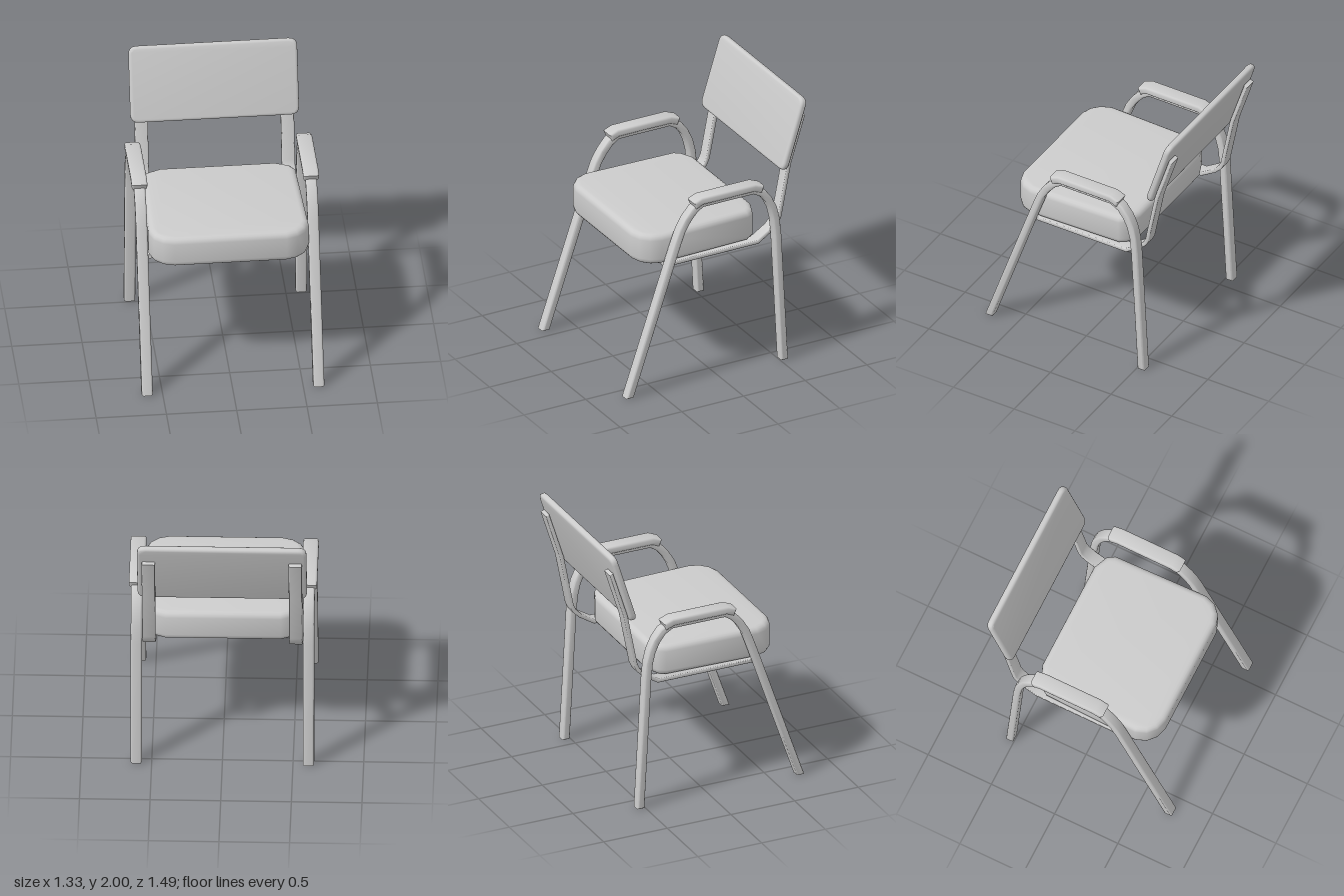
import * as THREE from 'three';
import { toCreasedNormals } from 'three/addons/utils/BufferGeometryUtils.js';

const material = new THREE.MeshStandardMaterial({ color: 0xcccccc });

// Extrude a shape to a total depth, centred, with edges rounded inward
function slab(shape, depth, bevel, bevelSegments = 3) {
  const geo = new THREE.ExtrudeGeometry(shape, {
    depth: depth - 2 * bevel, bevelThickness: bevel, bevelSize: bevel,
    bevelOffset: -bevel, bevelSegments, curveSegments: 4,
  });
  geo.translate(0, 0, bevel - depth / 2);
  return geo;
}

// Flat bar of given thickness and width following a [z, y] path
function bar(path, thickness, width, bevel, levelEnds = false) {
  const pts = path.map(([z, y]) => new THREE.Vector2(z, y));
  const dir = (i) => pts[i + 1].clone().sub(pts[i]).normalize();
  const last = pts.length - 1;
  const near = [], far = [];
  pts.forEach((p, i) => {
    const a = dir(Math.max(i - 1, 0)), b = dir(Math.min(i, last - 1));
    const na = new THREE.Vector2(-a.y, a.x);
    let n = na.clone().add(new THREE.Vector2(-b.y, b.x)).normalize();
    // feet are cut level with the floor
    if (levelEnds && (i === 0 || i === last)) n = new THREE.Vector2(Math.sign(n.x), 0);
    n.multiplyScalar(thickness / 2 / n.dot(na));
    near.push(p.clone().add(n));
    far.unshift(p.clone().sub(n));
  });
  const geo = slab(new THREE.Shape([...near, ...far]), width, bevel);
  return geo.rotateY(-Math.PI / 2);
}

function roundedRect(w, h, r) {
  const s = new THREE.Shape(), x = w / 2, y = h / 2;
  s.moveTo(-x + r, -y);
  s.lineTo(x - r, -y).quadraticCurveTo(x, -y, x, -y + r);
  s.lineTo(x, y - r).quadraticCurveTo(x, y, x - r, y);
  s.lineTo(-x + r, y).quadraticCurveTo(-x, y, -x, y - r);
  s.lineTo(-x, -y + r).quadraticCurveTo(-x, -y, -x + r, -y);
  return s;
}

export function createModel() {
  const chair = new THREE.Group();
  chair.name = 'armchair';
  const add = (name, geo, x = 0, y = 0, z = 0) => {
    const mesh = new THREE.Mesh(toCreasedNormals(geo, 0.75), material);
    mesh.name = name;
    mesh.position.set(x, y, z);
    chair.add(mesh);
    return mesh;
  };

  // Seat cushion: slightly narrower at the back, with clipped round corners
  const half = [[0.40, 0.58], [0.48, 0.555], [0.54, 0.50], [0.57, 0.42],
    [0.55, -0.29], [0.515, -0.345], [0.41, -0.39]];
  const outline = [...half, ...half.map(([x, z]) => [-x, z]).reverse()];
  const seatShape = new THREE.Shape(outline.map(([x, z]) => new THREE.Vector2(x, z)));
  add('seat', slab(seatShape, 0.235, 0.045, 4).rotateX(Math.PI / 2), 0, 1.073, 0);

  // Tilted back panel
  const back = add('backrest', slab(roundedRect(1.2, 0.56, 0.06), 0.05, 0.02), 0, 1.73, -0.643);
  back.rotation.x = -0.304;

  const legPath = [[0.72, 0], [0.40, 0.93], [0.33, 1.13], [0.295, 1.22], [0.25, 1.295],
    [0.195, 1.36], [0.135, 1.4], [-0.29, 1.4], [-0.36, 1.36], [-0.41, 1.295],
    [-0.445, 1.22], [-0.467, 1.13], [-0.48, 1.0], [-0.534, 0]];
  const armPath = [[0.20, 1.402], [0.14, 1.428], [-0.285, 1.428], [-0.35, 1.402]];
  const supportPath = [[0.39, 0.94], [-0.36, 0.94], [-0.47, 1.01], [-0.515, 1.055],
    [-0.537, 1.1], [-0.615, 1.5], [-0.73, 1.86]];

  for (const [side, s] of [['left', 1], ['right', -1]]) {
    // Front and rear leg in one bent tube
    add(side + 'LegFrame', bar(legPath, 0.055, 0.08, 0.014, true), s * 0.61);
    // Pad on top of the tube
    add(side + 'Armrest', bar(armPath, 0.055, 0.112, 0.016), s * 0.61);
    // Strip under the seat, bent up behind the backrest
    add(side + 'BackSupport', bar(supportPath, 0.03, 0.095, 0.008), s * 0.52);
  }
  return chair;
}
